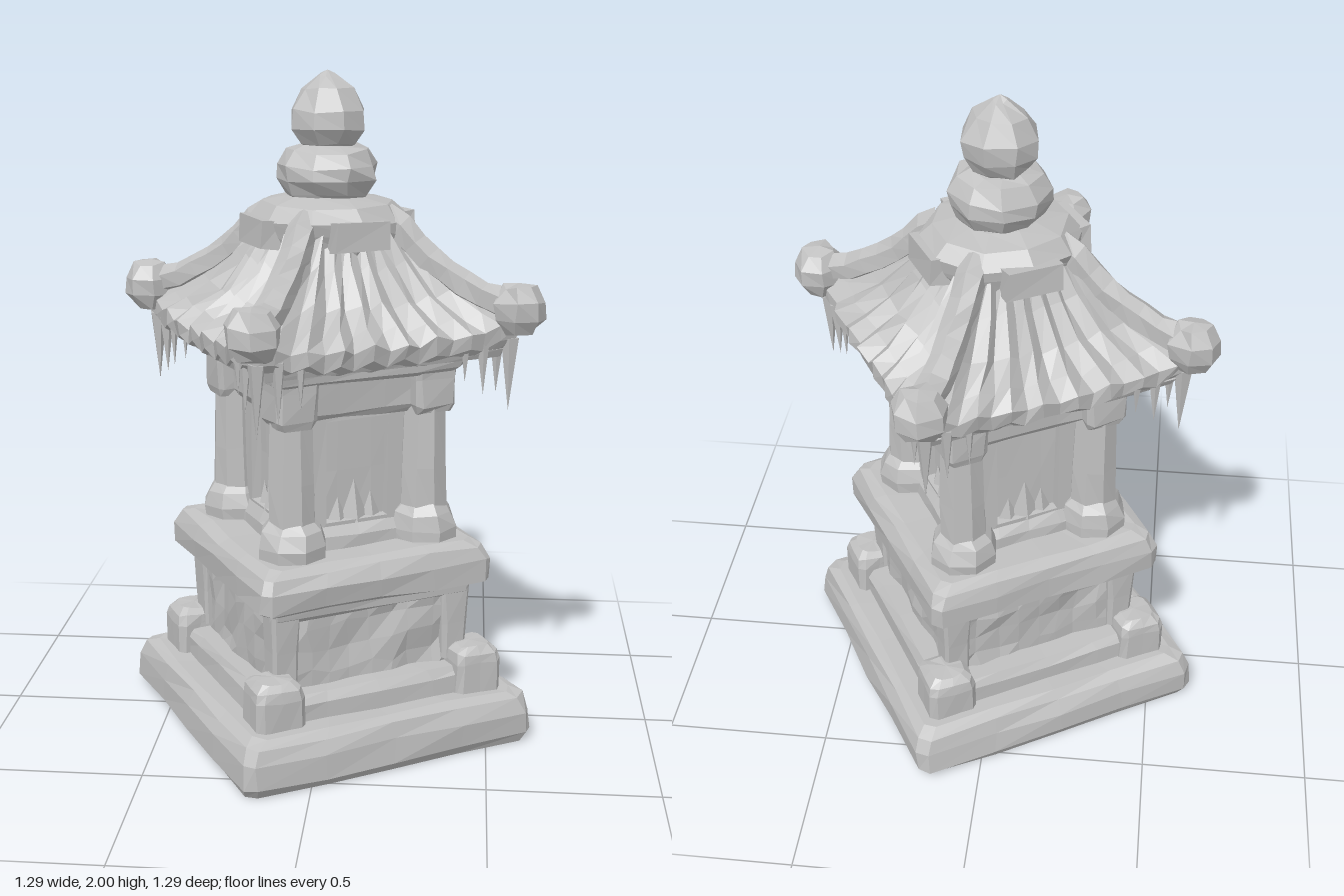
import * as THREE from 'three';

const stone = new THREE.MeshStandardMaterial({ color: 0xc0c0c0 });
stone.name = 'grey stone';

// Repeatable noise from a position, so that shared corners move together
const noise = (x, y, z, k) => {
  const r = (v) => Math.round(v * 400);
  const s = Math.sin(r(x) * 12.99 + r(y) * 78.23 + r(z) * 37.72 + k * 51.7) * 43758.55;
  return (s - Math.floor(s)) * 2 - 1;
};

// Chip a geometry by a small amount and give it flat facets
function chip(geometry, amount) {
  const g = geometry.index ? geometry.toNonIndexed() : geometry;
  const p = g.attributes.position;
  for (let i = 0; i < p.count; i++) {
    const [x, y, z] = [p.getX(i), p.getY(i), p.getZ(i)];
    const dy = y < 0.001 && y > -0.001 ? 0 : noise(x, y, z, 2) * amount;
    p.setXYZ(i, x + noise(x, y, z, 1) * amount, y + dy, z + noise(x, y, z, 3) * amount);
  }
  g.computeVertexNormals();
  return g;
}

// Closed solid through rings of points, from bottom to top
function loft(rings) {
  const n = rings[0].length, pos = [];
  const tri = (...c) => c.forEach((v) => pos.push(v.x, v.y, v.z));
  const middle = (ring) => ring.reduce((a, v) => a.add(v), new THREE.Vector3()).divideScalar(n);
  const last = rings[rings.length - 1], low = middle(rings[0]), high = middle(last);
  for (let i = 0; i < n; i++) {
    const j = (i + 1) % n;
    tri(low, rings[0][i], rings[0][j]);
    tri(high, last[j], last[i]);
    for (let k = 0; k < rings.length - 1; k++) {
      const a = rings[k], b = rings[k + 1];
      tri(a[i], b[i], a[j]);
      tri(a[j], b[i], b[j]);
    }
  }
  const g = new THREE.BufferGeometry();
  g.setAttribute('position', new THREE.Float32BufferAttribute(pos, 3));
  return g;
}

// Square ring with cut corners; bend(t, index) may push points out and up
function squareRing(half, y, cut, steps, bend) {
  const ring = [];
  for (let side = 0; side < 4; side++) {
    const c = Math.round(Math.cos(side * Math.PI / 2)), s = Math.round(Math.sin(side * Math.PI / 2));
    for (let i = 0; i <= steps; i++) {
      const t = (i / steps) * 2 - 1;
      const [out, up] = bend ? bend(t, i) : [0, 0];
      const x = half + out, z = t * (half - cut);
      ring.push(new THREE.Vector3(x * c - z * s, y + up, x * s + z * c));
    }
  }
  return ring;
}

const slab = (profile, cut, steps, amount) =>
  chip(loft(profile.map(([h, y]) => squareRing(h, y, cut, steps))), amount);

const lathe = (profile, sides, amount) =>
  chip(new THREE.LatheGeometry(profile.map(([r, y]) => new THREE.Vector2(r, y)), sides), amount);

export function createModel() {
  const model = new THREE.Group();
  model.name = 'stoneShrine';
  const shrine = new THREE.Group();
  shrine.name = 'shrine';
  shrine.rotation.y = Math.PI / 6;
  model.add(shrine);

  const add = (name, geometry, parent = shrine) => {
    const m = new THREE.Mesh(geometry, stone);
    m.name = name;
    parent.add(m);
    return m;
  };

  // Stepped plinth
  add('base', slab([[0.457, 0], [0.474, 0.03], [0.472, 0.1], [0.455, 0.145], [0.425, 0.16]], 0.03, 4, 0.006));
  add('step', slab([[0.372, 0.14], [0.37, 0.215], [0.352, 0.24]], 0.02, 4, 0.005));
  add('pedestal', slab([[0.3, 0.22], [0.3, 0.28], [0.297, 0.35], [0.3, 0.42], [0.305, 0.49]], 0.03, 8, 0.012));
  add('pedestalTrim', slab([[0.305, 0.45], [0.33, 0.465], [0.333, 0.5]], 0.02, 3, 0.003));
  add('platform', slab([[0.34, 0.49], [0.372, 0.505], [0.374, 0.57], [0.358, 0.61], [0.325, 0.625]], 0.025, 4, 0.006));

  // Chamber walls, lintel and the underside of the eaves
  add('chamber', slab([[0.18, 0.6], [0.18, 0.85], [0.18, 1.1]], 0.01, 3, 0.004));
  add('sill', slab([[0.235, 0.6], [0.23, 0.66], [0.21, 0.69]], 0.02, 4, 0.004));
  add('lintel', slab([[0.225, 1.02], [0.24, 1.04], [0.245, 1.13], [0.25, 1.17]], 0.02, 3, 0.004));
  add('soffit', slab([[0.285, 1.14], [0.305, 1.155], [0.31, 1.18], [0.385, 1.195], [0.395, 1.22]], 0.02, 4, 0.003));

  // Roof with tile ribs that swell towards the eaves and corners that sweep up
  const roofProfile = [[0.375, 1.19], [0.41, 1.215], [0.415, 1.262], [0.365, 1.3], [0.295, 1.355], [0.225, 1.45], [0.165, 1.55]];
  const roofRings = roofProfile.map(([h, y], k) => squareRing(h, y, 0.01, 16, (t, i) => {
    const rib = (i % 2 ? 1 : -1) * (k === 0 ? 0 : 0.011) * (1 - Math.abs(t) ** 6);
    return [rib * 0.6, rib + 0.035 * Math.abs(t) ** 3 * (k > 0 ? 1 : 0.5)];
  }));
  add('tiledRoof', chip(loft(roofRings), 0.007));

  // Crown and two-part finial
  add('crown', lathe([[0, 1.48], [0.2, 1.48], [0.225, 1.54], [0.235, 1.575], [0.195, 1.62], [0.12, 1.64], [0, 1.64]], 10, 0.006));
  add('lowerFinial', lathe([[0.1, 1.62], [0.125, 1.645], [0.148, 1.685], [0.147, 1.725], [0.12, 1.77], [0.08, 1.785], [0, 1.79]], 9, 0.006));
  add('upperFinial', lathe([[0.06, 1.77], [0.085, 1.79], [0.112, 1.83], [0.113, 1.885], [0.075, 1.945], [0.025, 1.985], [0, 2]], 8, 0.005));

  // Window frame, cut from one plate
  const frameShape = new THREE.Shape();
  frameShape.moveTo(-0.17, 0.62).lineTo(0.17, 0.62).lineTo(0.17, 1.06).lineTo(-0.17, 1.06).closePath();
  const opening = new THREE.Path();
  opening.moveTo(-0.1, 0.7).lineTo(-0.1, 1.01).lineTo(0.1, 1.01).lineTo(0.1, 0.7).closePath();
  frameShape.holes.push(opening);
  const frame = chip(new THREE.ExtrudeGeometry(frameShape, { depth: 0.035, bevelEnabled: false }), 0.003);

  // Corner parts
  const foot = slab([[0.075, 0.13], [0.074, 0.25], [0.068, 0.28], [0.05, 0.298]], 0.018, 2, 0.004);
  const post = slab([[0.038, 0.25], [0.04, 0.36], [0.045, 0.48]], 0.01, 1, 0.003);
  const columnBase = lathe([[0, 0.6], [0.1, 0.6], [0.103, 0.66], [0.09, 0.705], [0.066, 0.735], [0, 0.735]], 8, 0.005);
  const column = lathe([[0.073, 0.7], [0.07, 0.85], [0.064, 1.05]], 8, 0.003);
  const capital = slab([[0.055, 1.015], [0.065, 1.04], [0.066, 1.12], [0.07, 1.17]], 0.015, 1, 0.004);
  const ridgePath = new THREE.CatmullRomCurve3(
    [[0.12, 1.58], [0.16, 1.545], [0.21, 1.475], [0.28, 1.41], [0.35, 1.36], [0.42, 1.34]]
      .map(([d, y]) => new THREE.Vector3(d, y, d)));
  const ridge = chip(new THREE.TubeGeometry(ridgePath, 8, 0.045, 6, false), 0.004);
  const knob = chip(new THREE.SphereGeometry(0.082, 7, 5), 0.006);
  const icicles = [[0.395, 0.395, 0.027, 1.035], [0.31, 0.393, 0.02, 1.09], [0.393, 0.33, 0.022, 1.075],
    [0.25, 0.393, 0.015, 1.13], [0.393, 0.265, 0.017, 1.105]];

  for (let k = 0; k < 4; k++) {
    const corner = new THREE.Group();
    corner.name = 'corner' + (k + 1);
    corner.rotation.y = k * Math.PI / 2;
    shrine.add(corner);
    add('foot', foot, corner).position.set(0.325, 0, 0.325);
    add('pedestalPost', post, corner).position.set(0.278, 0, 0.278);
    add('columnBase', columnBase, corner).position.set(0.216, 0, 0.216);
    add('column', column, corner).position.set(0.216, 0, 0.216);
    add('capital', capital, corner).position.set(0.223, 0, 0.223);
    add('hipRidge', ridge, corner);
    add('ridgeKnob', knob, corner).position.set(0.413, 1.335, 0.413);
    for (const [x, z, r, tip] of icicles) {
      const length = 1.25 - tip;
      const icicle = add('icicle', chip(new THREE.ConeGeometry(r, length, 5), 0.002), corner);
      icicle.rotation.x = Math.PI;
      icicle.position.set(x, 1.25 - length / 2, z);
    }

    const side = new THREE.Group();
    side.name = 'side' + (k + 1);
    side.rotation.y = k * Math.PI / 2;
    shrine.add(side);
    add('windowFrame', frame, side).position.z = 0.172;
    // Small carved peaks in the window
    for (const [x, w, h] of [[0, 0.05, 0.13], [-0.055, 0.035, 0.08], [0.055, 0.035, 0.085]]) {
      const peak = add('carvedPeak', chip(new THREE.ConeGeometry(w, h, 4), 0.003), side);
      peak.scale.z = 0.6;
      peak.position.set(x, 0.69 + h / 2, 0.185);
    }
    // Plaque below the crown
    const plaque = add('crownPlaque', chip(new THREE.BoxGeometry(0.17, 0.085, 0.07), 0.005), side);
    plaque.position.set(0, 1.54, 0.212);
    plaque.rotation.x = -0.1;
  }
  return model;
}
